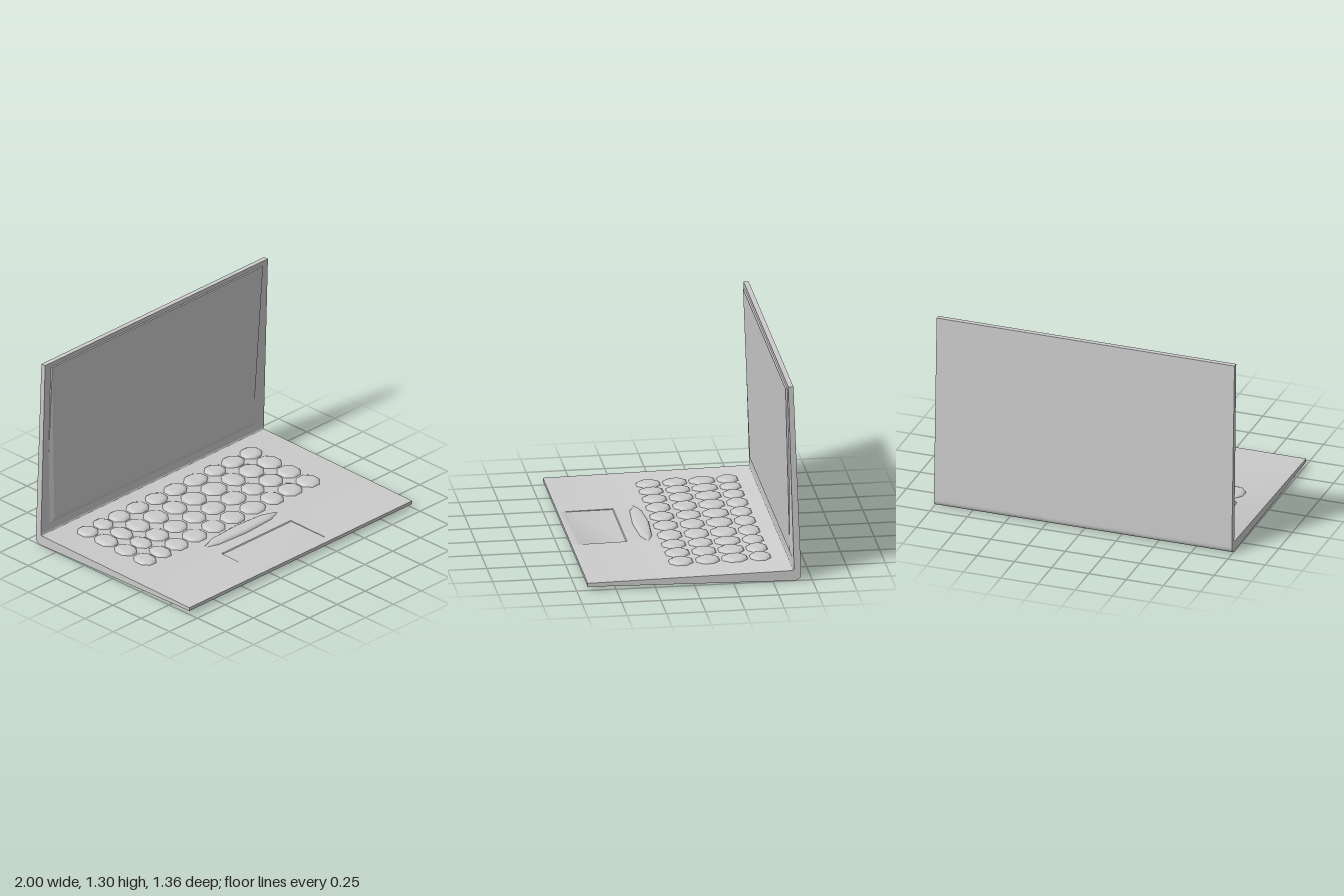
import * as THREE from 'three';
import { toCreasedNormals } from 'three/addons/utils/BufferGeometryUtils.js';

const grey = new THREE.MeshStandardMaterial({ color: 0xcccccc });

// height of the sloping deck at depth z
const deckY = z => 0.05 + (0.68 - z) * 0.0155;

function addMesh(parent, name, geometry) {
  const mesh = new THREE.Mesh(geometry, grey);
  mesh.name = name;
  parent.add(mesh);
  return mesh;
}

// side profile of base and lid in one piece, extruded between two x positions
function shellSlice(x0, x1, recessed) {
  const s = new THREE.Shape();
  s.moveTo(0.68, 0.027);
  s.lineTo(0.68, 0.05);
  if (recessed) { // touchpad hollow
    s.lineTo(0.63, deckY(0.63));
    s.lineTo(0.625, deckY(0.625) - 0.003);
    s.lineTo(0.33, deckY(0.33) - 0.006);
    s.lineTo(0.325, deckY(0.325));
  }
  s.lineTo(-0.625, deckY(-0.625));
  s.quadraticCurveTo(-0.635, 0.07, -0.634, 0.085);
  s.lineTo(-0.597, 1.3);
  s.lineTo(-0.63, 1.3);
  s.lineTo(-0.679, 0.055);
  s.bezierCurveTo(-0.681, 0.02, -0.668, 0.004, -0.63, 0.002);
  s.closePath();
  const g = new THREE.ExtrudeGeometry(s, { depth: x1 - x0, bevelEnabled: false, curveSegments: 8 });
  g.rotateY(-Math.PI / 2).translate(x1, 0, 0);
  return toCreasedNormals(g, 0.6);
}

// low eight-sided dome with unit radius and height
function domeGeometry(turn) {
  const profile = [[1, -0.2], [0.99, 0.1], [0.9, 0.6], [0.7, 0.92], [0.45, 1], [0, 1]]
    .map(([r, y]) => new THREE.Vector2(r, y));
  return new THREE.LatheGeometry(profile, 8).rotateY(turn);
}

export function createModel() {
  const model = new THREE.Group();
  model.name = 'laptop';

  // base and lid
  const shell = new THREE.Group();
  shell.name = 'shell';
  model.add(shell);
  addMesh(shell, 'shellRight', shellSlice(-1, -0.35, false));
  addMesh(shell, 'shellMiddle', shellSlice(-0.35, 0.27, true));
  addMesh(shell, 'shellLeft', shellSlice(0.27, 1, false));

  // screen panel, its front edges sloping into the lid
  const g = new THREE.BoxGeometry(1.9, 1.17, 0.02);
  const p = g.attributes.position;
  for (let i = 0; i < p.count; i++) {
    if (p.getZ(i) < 0) continue;
    const low = p.getY(i) < 0;
    p.setX(i, p.getX(i) * (low ? 0.94 : 0.995));
    if (low) p.setY(i, p.getY(i) + 0.06);
  }
  const screen = addMesh(model, 'screen', toCreasedNormals(g, 0.1));
  screen.position.set(0, 0.685, -0.615);
  screen.rotation.x = 0.031;

  // keyboard: columns [x, half width] and rows [z, half depth]
  const columns = [[-0.755, 0.064], [-0.617, 0.059], [-0.472, 0.07], [-0.31, 0.076], [-0.14, 0.072],
    [0.03, 0.078], [0.212, 0.084], [0.385, 0.069], [0.547, 0.076], [0.708, 0.073]];
  const rows = [[-0.46, 0.066], [-0.297, 0.081], [-0.125, 0.075], [0.045, 0.076]];
  const keyboard = new THREE.Group();
  keyboard.name = 'keyboard';
  model.add(keyboard);
  const keyGeometry = domeGeometry(Math.PI / 8);
  const spread = 1 / Math.cos(Math.PI / 8);
  for (const [z, d] of rows) {
    for (const [x, w] of columns) {
      const key = addMesh(keyboard, 'key', keyGeometry);
      key.position.set(x, deckY(z), z);
      key.scale.set(w * spread, 0.02, d * spread);
      key.rotation.x = 0.0155;
    }
  }
  const spaceBar = addMesh(keyboard, 'spaceBar', domeGeometry(0));
  spaceBar.position.set(-0.045, deckY(0.193), 0.193);
  spaceBar.scale.set(0.336, 0.02, 0.053);
  spaceBar.rotation.x = 0.0155;

  return model;
}
